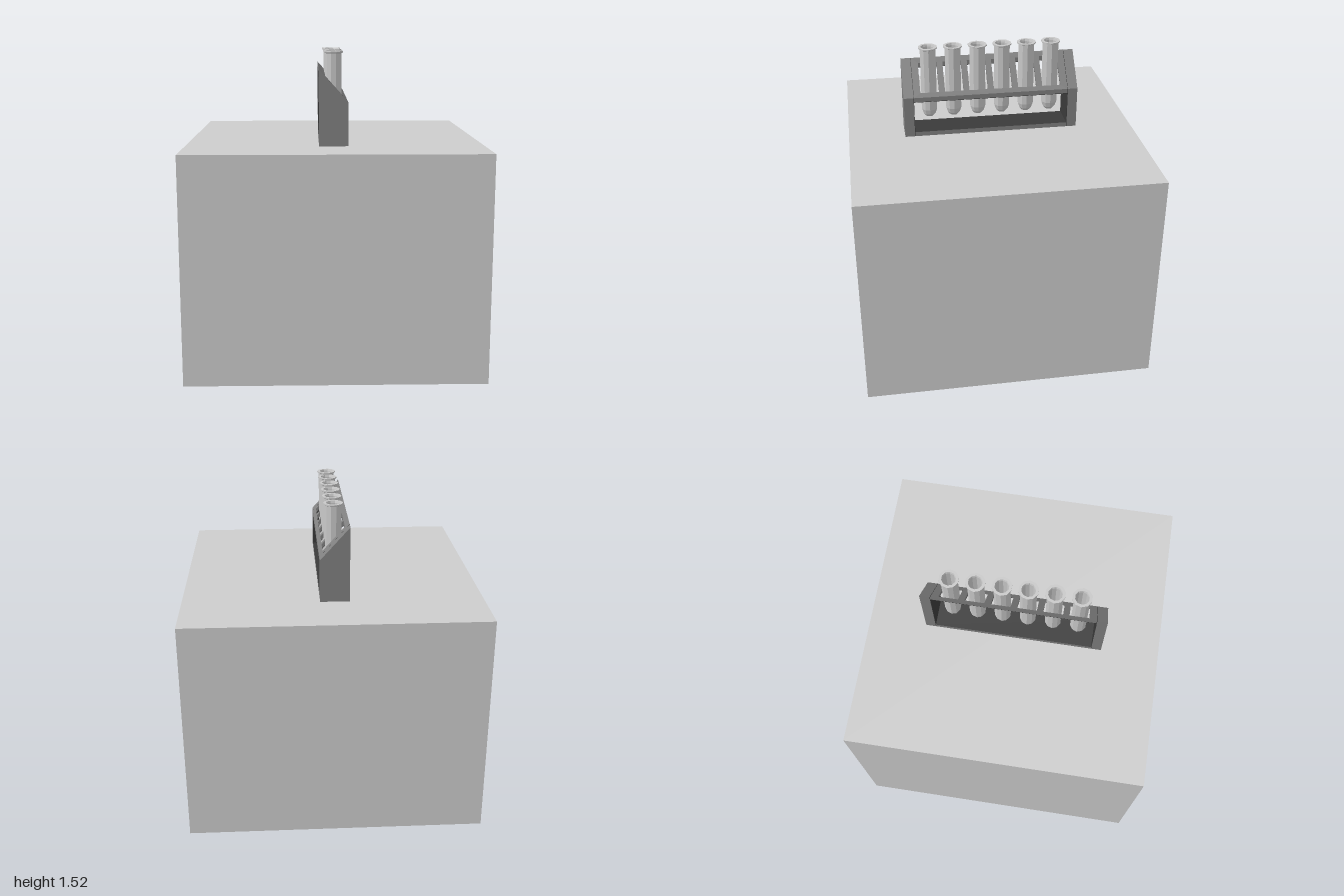
import * as THREE from 'three';

const mat = (name, color, side = THREE.FrontSide) => {
  const m = new THREE.MeshStandardMaterial({ color, side });
  m.name = name;
  return m;
};

// Rack dimensions in its own frame: x along the row of tubes, sloping down to +z
const BLOCK = 1.418, BASE_Y = 1.08, HALF = 0.432, WALL = 0.05, FLOOR = 0.022, PLATE = 0.022;
const BACK = -0.076, FRONT = 0.063, BACK_Y = 1.44, FRONT_Y = 1.285;
const SLOPE = (BACK_Y - FRONT_Y) / (FRONT - BACK);
const TUBES = 6, PITCH = 0.121, TUBE_Z = -0.005, SLOT_X = 0.046, SLOT_Z = 0.052;
const tubeX = (i) => (i - (TUBES - 1) / 2) * PITCH;

// Rectangle in plan; y of the outline is -z of the rack
const rectangle = (x0, x1, z0, z1) => [[x0, -z1], [x1, -z1], [x1, -z0], [x0, -z0]]
  .map(([x, y]) => new THREE.Vector2(x, y));

// Slanted end board, from x0 to x0 + width
function endBoard(x0, width) {
  const s = new THREE.Shape([
    new THREE.Vector2(-FRONT, BASE_Y), new THREE.Vector2(-BACK, BASE_Y),
    new THREE.Vector2(-BACK, BACK_Y), new THREE.Vector2(-FRONT, FRONT_Y),
  ]);
  const g = new THREE.ExtrudeGeometry(s, { depth: width, bevelEnabled: false });
  return g.rotateY(Math.PI / 2).translate(x0, 0, 0);
}

// Sloping slotted plate: cut in plan, then sheared upward towards the back
function slopedPlate(drop, thickness) {
  const s = new THREE.Shape(rectangle(WALL - HALF, HALF - WALL, BACK, FRONT));
  for (let i = 0; i < TUBES; i++) {
    const x = tubeX(i);
    s.holes.push(new THREE.Path(rectangle(x - SLOT_X, x + SLOT_X, TUBE_Z - SLOT_Z, TUBE_Z + SLOT_Z)));
  }
  const g = new THREE.ExtrudeGeometry(s, { depth: thickness, bevelEnabled: false });
  g.rotateX(-Math.PI / 2);
  const p = g.attributes.position;
  for (let i = 0; i < p.count; i++) {
    p.setY(i, p.getY(i) + FRONT_Y - drop - thickness + (FRONT - p.getZ(i)) * SLOPE);
  }
  g.computeVertexNormals();
  return g;
}

export function createModel() {
  const model = new THREE.Group();
  model.name = 'tubeRackOnBlock';
  model.rotation.y = THREE.MathUtils.degToRad(50);

  const blockGrey = mat('light grey', 0xcccccc, THREE.DoubleSide);
  const rackGrey = mat('rack grey', 0x808080);
  const innerGrey = mat('dark inner grey', 0x3a3a3a);
  const tubeGrey = mat('tube grey', 0xc8c8c8, THREE.DoubleSide);
  tubeGrey.flatShading = true;

  const add = (parent, name, geometry, material) => {
    const m = new THREE.Mesh(geometry, material);
    m.name = name;
    parent.add(m);
    return m;
  };

  // Pedestal block: four walls and a top, open underneath
  const block = new THREE.Group();
  block.name = 'block';
  model.add(block);
  const wall = new THREE.PlaneGeometry(BLOCK, BASE_Y).translate(0, BASE_Y / 2, BLOCK / 2);
  for (let i = 0; i < 4; i++) {
    add(block, 'blockWall' + (i + 1), wall, blockGrey).rotation.y = i * Math.PI / 2;
  }
  const top = new THREE.PlaneGeometry(BLOCK, BLOCK).rotateX(-Math.PI / 2);
  add(block, 'blockTop', top, blockGrey).position.y = BASE_Y;

  // Rack: floor, end boards and sloped plate, with dark inner faces
  const rack = new THREE.Group();
  rack.name = 'rack';
  model.add(rack);
  const inner = HALF - WALL, lining = 0.002;
  const floor = new THREE.BoxGeometry(inner * 2, FLOOR, FRONT - BACK);
  floor.translate(0, BASE_Y + FLOOR / 2, (FRONT + BACK) / 2);
  add(rack, 'rackFloor', floor, [rackGrey, rackGrey, innerGrey, rackGrey, rackGrey, rackGrey]);
  for (const side of [-1, 1]) {
    const name = side > 0 ? 'left' : 'right';
    add(rack, name + 'End', endBoard(side > 0 ? inner + lining : -HALF, WALL - lining), rackGrey);
    add(rack, name + 'EndLining', endBoard(side > 0 ? inner : -inner - lining, lining), innerGrey);
  }
  add(rack, 'slopedPlate', slopedPlate(0, PLATE), rackGrey);
  add(rack, 'slopedPlateLining', slopedPlate(PLATE, lining), innerGrey);

  // Hollow tubes with a thin flared lip and tapered bottom
  const profile = [
    [0, 1.16], [0.019, 1.161], [0.031, 1.175], [0.039, 1.2], [0.039, 1.51],
    [0.047, 1.514], [0.047, 1.52], [0.034, 1.52], [0.031, 1.51],
    [0.031, 1.205], [0.016, 1.18], [0, 1.175],
  ].map(([r, y]) => new THREE.Vector2(r, y));
  const tube = new THREE.LatheGeometry(profile, 10);
  for (let i = 0; i < TUBES; i++) {
    add(model, 'tube' + (i + 1), tube, tubeGrey).position.set(tubeX(i), 0, TUBE_Z);
  }
  return model;
}
